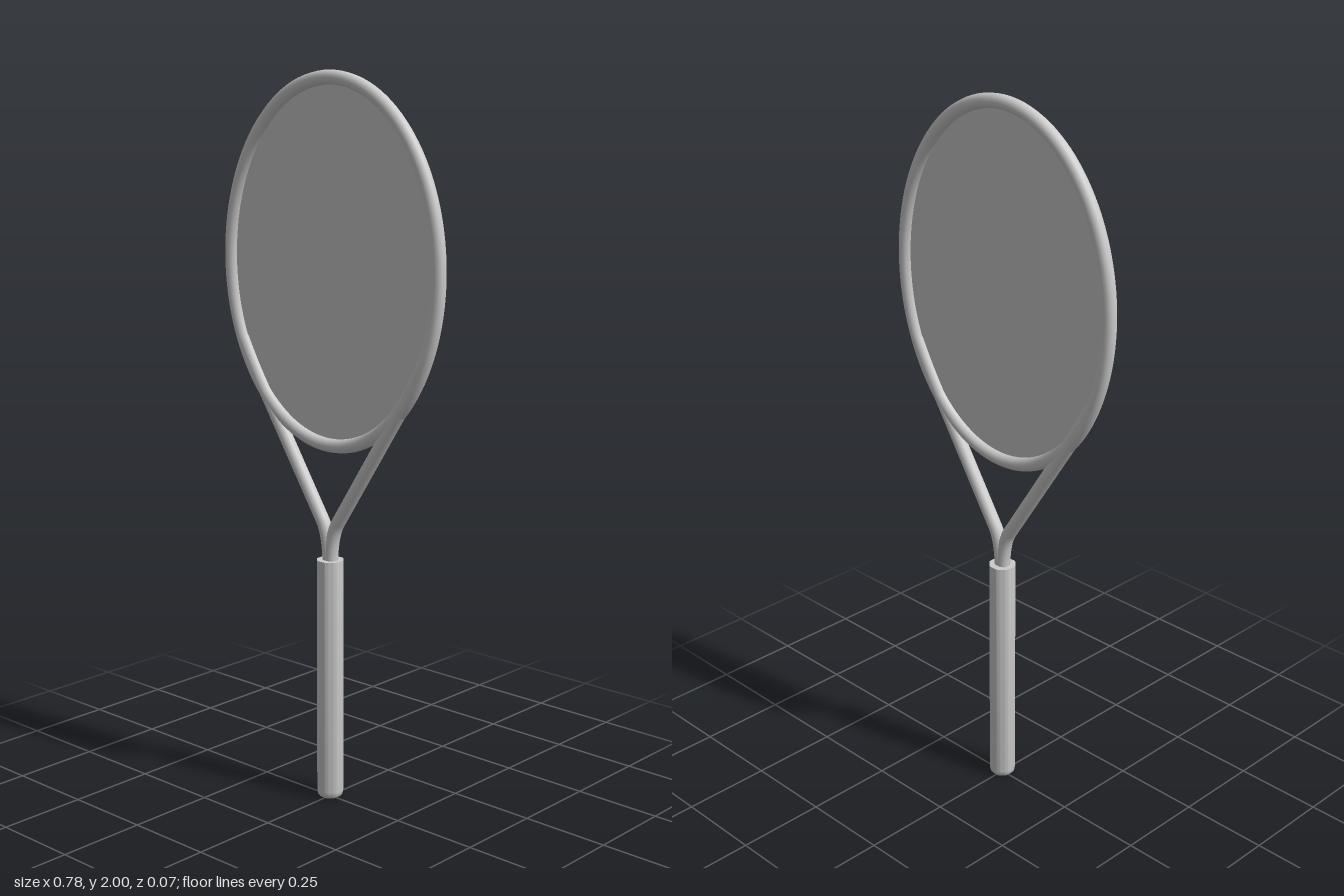
import * as THREE from 'three';
import { toCreasedNormals } from 'three/addons/utils/BufferGeometryUtils.js';

const TUBE = 0.019;            // frame tube radius
const HEAD_Y = 1.495;          // centre of the head
const HEAD_A = 0.37, HEAD_B = 0.486; // half axes of the head's centre line
const GRIP_TOP = 0.69;

const material = new THREE.MeshStandardMaterial({ color: 0xcccccc });
const thinMaterial = new THREE.MeshStandardMaterial({ color: 0xcccccc, side: THREE.DoubleSide });

function addPart(group, name, geometry, mat = material) {
  const mesh = new THREE.Mesh(geometry, mat);
  mesh.name = name;
  group.add(mesh);
  return mesh;
}

// Oval centre line of the head
class HeadCurve extends THREE.Curve {
  getPoint(t, target = new THREE.Vector3()) {
    const a = t * Math.PI * 2;
    return target.set(HEAD_A * Math.cos(a), HEAD_Y + HEAD_B * Math.sin(a), 0);
  }
}

// Throat arm: leaves the head along its side and bends down into the shaft
function armGeometry(side) {
  const p = (x, y) => new THREE.Vector3(side * x, y, 0);
  const path = new THREE.CurvePath();
  path.add(new THREE.QuadraticBezierCurve3(p(0.326, 1.27), p(0.29, 1.2), p(0.25, 1.14)));
  path.add(new THREE.LineCurve3(p(0.25, 1.14), p(0.028, 0.796)));
  path.add(new THREE.QuadraticBezierCurve3(p(0.028, 0.796), p(0.004, 0.758), p(0.003, GRIP_TOP - 0.02)));
  return new THREE.TubeGeometry(path, 64, TUBE, 16, false);
}

// Grip: turned profile pressed into a soft octagon
function gripGeometry() {
  const profile = [[0, 0], [0.022, 0], [0.03, 0.004], [0.035, 0.011], [0.037, 0.022],
    [0.037, GRIP_TOP], [0, GRIP_TOP]].map(([x, y]) => new THREE.Vector2(x, y));
  const geometry = new THREE.LatheGeometry(profile, 48);
  const pos = geometry.attributes.position;
  const step = Math.PI / 4;
  for (let i = 0; i < pos.count; i++) {
    const x = pos.getX(i), z = pos.getZ(i);
    const angle = Math.atan2(z, x);
    const offset = angle - Math.round(angle / step) * step;
    const k = Math.min(1.025, 0.98 / Math.cos(offset));
    pos.setX(i, x * k);
    pos.setZ(i, z * k);
  }
  return toCreasedNormals(geometry, Math.PI / 4);
}

export function createModel() {
  const model = new THREE.Group();
  model.name = 'racket';

  addPart(model, 'headFrame', new THREE.TubeGeometry(new HeadCurve(), 128, TUBE, 16, true));

  // String bed: one thin oval sheet inside the frame
  const strings = addPart(model, 'stringBed', new THREE.CircleGeometry(1, 96), thinMaterial);
  strings.scale.set(HEAD_A, HEAD_B, 1);
  strings.position.y = HEAD_Y;

  addPart(model, 'leftThroatArm', armGeometry(1));
  addPart(model, 'rightThroatArm', armGeometry(-1));
  addPart(model, 'grip', gripGeometry());

  return model;
}
